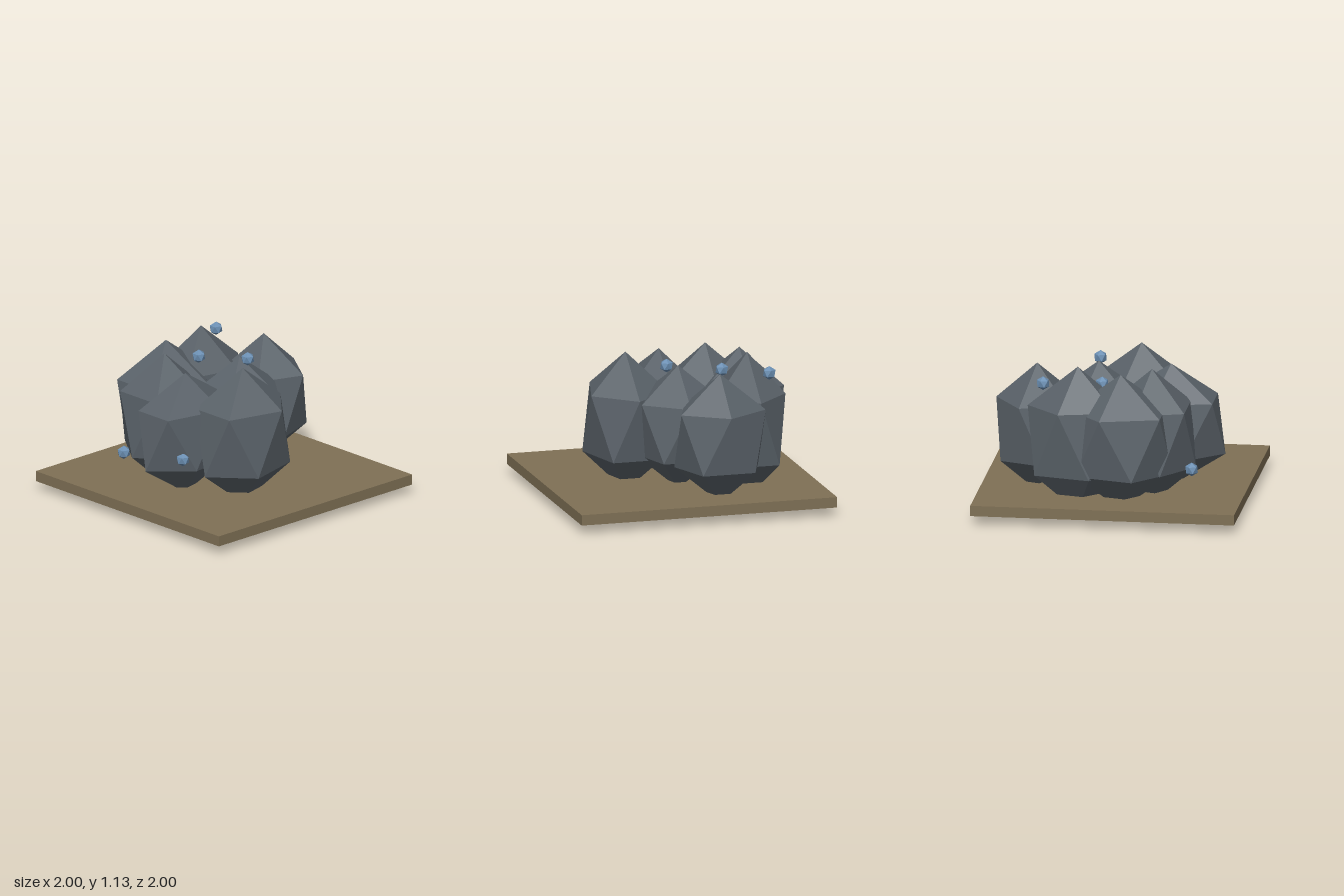
import * as THREE from 'three';

function flat(name, color) {
  const m = new THREE.MeshStandardMaterial({ color, flatShading: true });
  m.name = name;
  return m;
}

// Icosahedron standing on a corner, with an upper-ring corner toward +x
function uprightIcosahedron(rx, ry, rz) {
  const g = new THREE.IcosahedronGeometry(1, 0);
  g.rotateX(-Math.atan((1 + Math.sqrt(5)) / 2));
  g.rotateY(Math.PI / 2);
  return g.scale(rx, ry, rz);
}

export function createModel() {
  const model = new THREE.Group();
  const stone = flat('dark stone', 0x596168);
  const earth = flat('brown earth', 0x7f7055);
  const crystal = flat('blue crystal', 0x6b8fb3);

  function add(name, geometry, material, x, y, z) {
    const mesh = new THREE.Mesh(geometry, material);
    mesh.name = name;
    mesh.position.set(x, y, z);
    model.add(mesh);
  }

  // Ground slab
  add('groundSlab', new THREE.BoxGeometry(2, 0.08, 2), earth, 0, 0.11, 0);

  // Boulders, all centred at one height: name, x, z, radii
  const boulders = [
    ['frontBoulder', -0.12, 0.33, 0.436, 0.537, 0.355],
    ['rightBoulder', 0.6, -0.2, 0.347, 0.498, 0.388],
    ['leftBoulder', -0.39, -0.01, 0.46, 0.475, 0.305],
    ['middleBoulder', 0.16, 0, 0.4, 0.475, 0.37],
    ['backRightBoulder', 0.25, -0.515, 0.425, 0.564, 0.312],
    ['backBoulder', -0.08, -0.55, 0.444, 0.522, 0.37],
    ['backLeftBoulder', -0.29, -0.345, 0.373, 0.52, 0.38],
  ];
  for (const [name, x, z, rx, ry, rz] of boulders) {
    add(name, uprightIcosahedron(rx, ry, rz), stone, x, 0.566, z);
  }

  // Small crystals scattered around the boulders
  const crystals = [
    [0.16, 1.045, 0.09], [0.5, 1.02, -0.615], [0.085, 0.965, -0.365],
    [-0.605, 0.455, 0.19], [-0.605, 0.345, -0.455],
  ];
  crystals.forEach(([x, y, z], i) => {
    add('crystal' + (i + 1), uprightIcosahedron(0.053, 0.053, 0.053), crystal, x, y, z);
  });

  return model;
}
